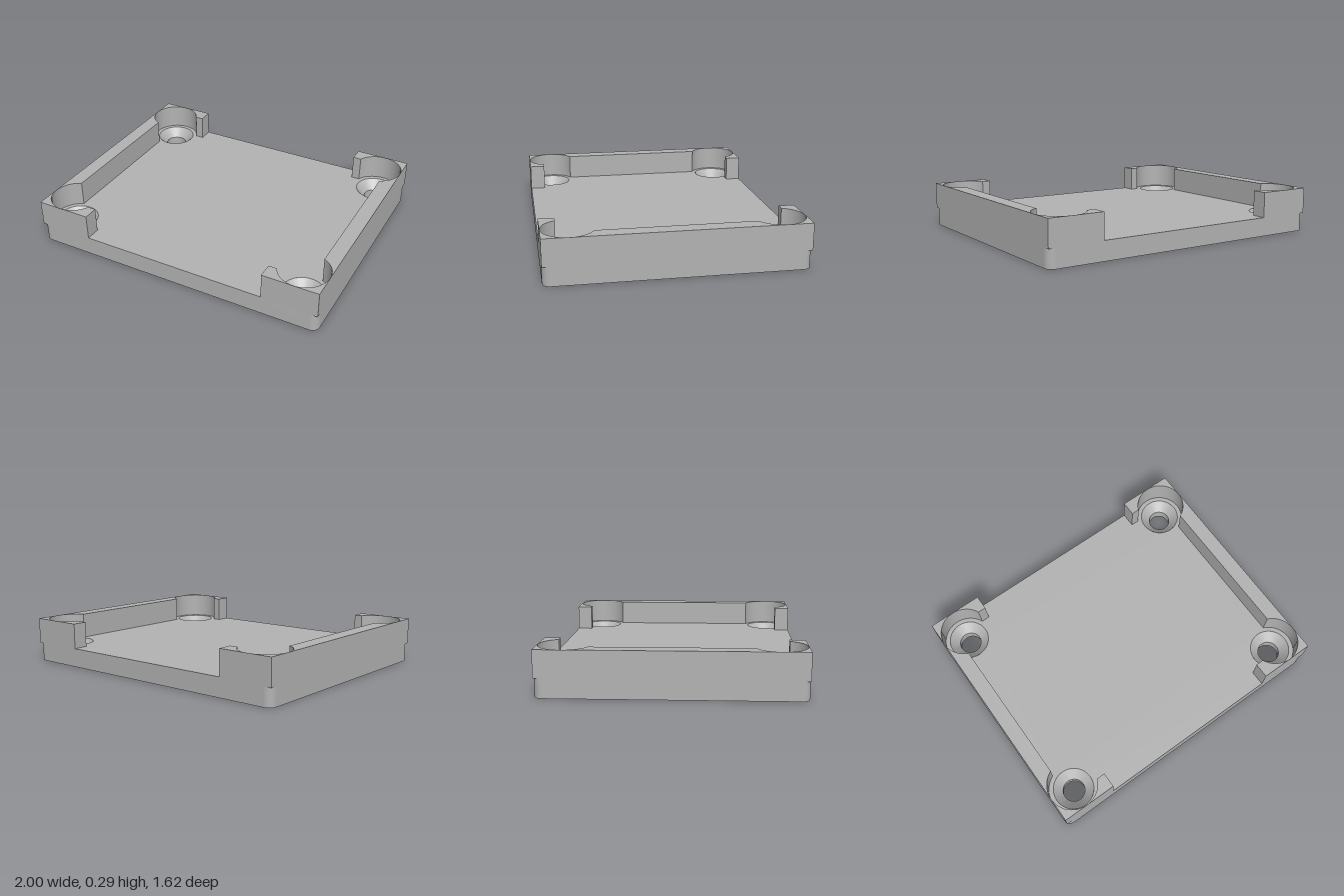
import * as THREE from 'three';
import { toCreasedNormals } from 'three/addons/utils/BufferGeometryUtils.js';

const W = 1, D = 0.81;                 // half width and half depth
const FLOOR = 0.125, TOP = 0.293;      // floor surface and rim height
const HX = 0.835, HZ = 0.645;          // screw hole centres
const SINK = 0.134, HOLE = 0.073;      // countersink and bore radii
const SEG = 48;

// Extrude a plan outline upward from y0 to y1
function slab(shape, y0, y1) {
  const g = new THREE.ExtrudeGeometry(shape, { depth: y1 - y0, bevelEnabled: false, curveSegments: SEG });
  g.rotateX(-Math.PI / 2);
  g.translate(0, y0, 0);
  return toCreasedNormals(g, 0.5);
}

// Rounded plate outline with four round openings
function plateShape() {
  const r = 0.05, s = new THREE.Shape();
  s.absarc(W - r, D - r, r, 0, Math.PI / 2);
  s.absarc(-W + r, D - r, r, Math.PI / 2, Math.PI);
  s.absarc(-W + r, -D + r, r, Math.PI, Math.PI * 1.5);
  s.absarc(W - r, -D + r, r, Math.PI * 1.5, Math.PI * 2);
  s.closePath();
  for (const x of [-HX, HX]) for (const z of [-HZ, HZ]) {
    s.holes.push(new THREE.Path().absarc(x, z, SINK, 0, Math.PI * 2, true));
  }
  return s;
}

// Side wall with returns at both ends and round clearances for the screw heads
function wallShape() {
  const R = 0.163, inner = 0.9, lip = 0.71, end = 0.63;
  const a = Math.acos((inner - HX) / R);
  const b = Math.PI - Math.asin((lip - HZ) / R);
  const s = new THREE.Shape();
  s.moveTo(end, -D);
  s.lineTo(W, -D);
  s.lineTo(W, D);
  s.lineTo(end, D);
  s.lineTo(end, lip);
  s.absarc(HX, HZ, R, b, -a, true);
  s.absarc(HX, -HZ, R, a, -b, true);
  s.lineTo(end, -lip);
  s.closePath();
  return s;
}

export function createModel() {
  const group = new THREE.Group();
  group.name = 'mountingTray';
  const grey = new THREE.MeshStandardMaterial({ color: 0xb2b2b2 });
  grey.name = 'grey';

  const add = (geometry, name) => {
    const mesh = new THREE.Mesh(geometry, grey);
    mesh.name = name;
    group.add(mesh);
    return mesh;
  };

  // Floor plate
  add(slab(plateShape(), 0, FLOOR), 'basePlate');

  // Side walls, overhanging the rounded plate corners slightly
  const wall = slab(wallShape(), 0.12, TOP);
  add(wall, 'leftWall');
  add(wall, 'rightWall').rotation.y = Math.PI;

  // Countersunk screw holes
  const profile = [[SINK, FLOOR], [HOLE, 0.064], [HOLE, 0], [SINK, 0]];
  const sink = toCreasedNormals(
    new THREE.LatheGeometry(profile.map(([r, y]) => new THREE.Vector2(r, y)), SEG), 0.5);
  for (const x of [-HX, HX]) for (const z of [-HZ, HZ]) {
    add(sink, 'countersunkHole').position.set(x, 0, z);
  }
  return group;
}
